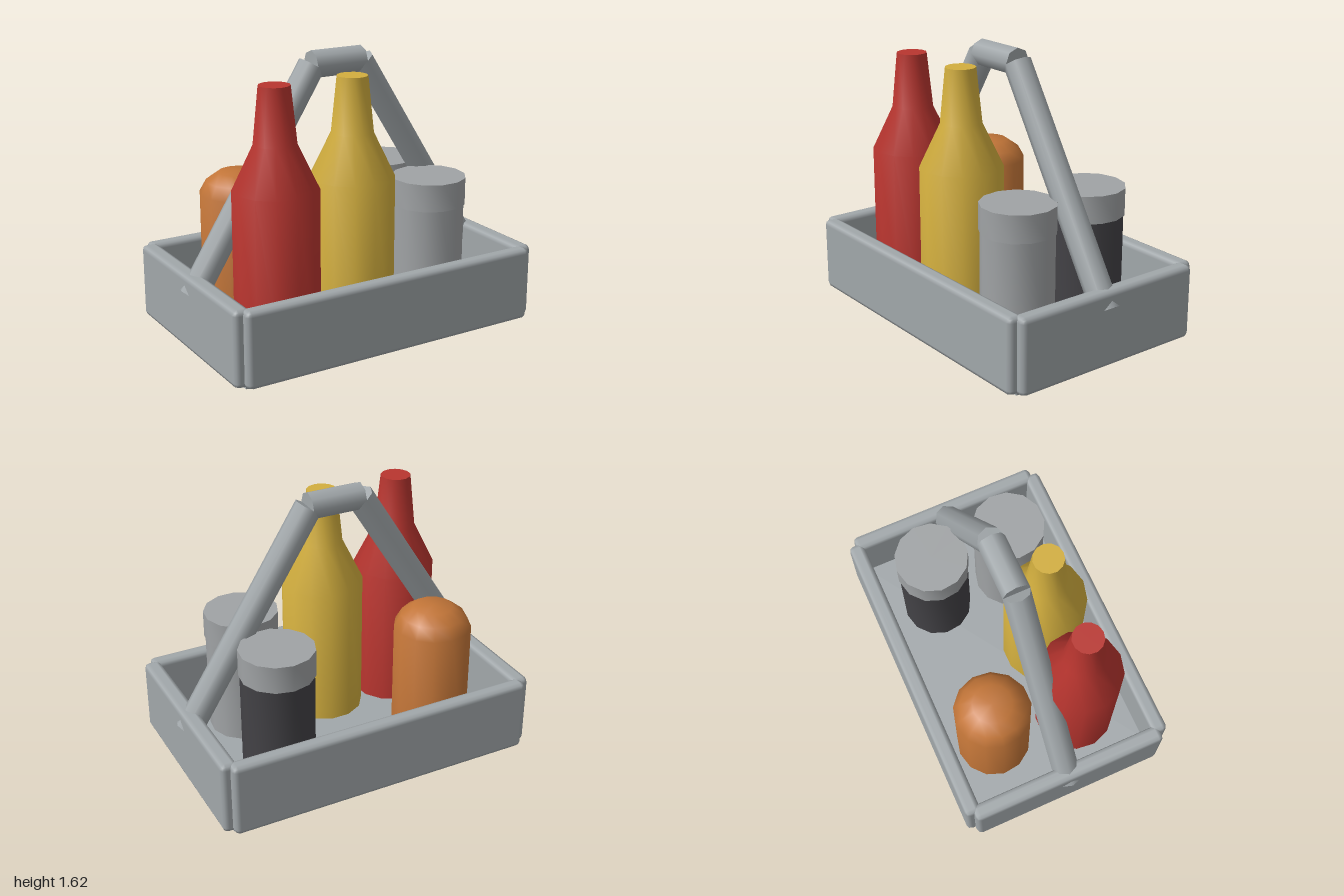
import * as THREE from 'three';
import { toCreasedNormals } from 'three/addons/utils/BufferGeometryUtils.js';
import { RoundedBoxGeometry } from 'three/addons/geometries/RoundedBoxGeometry.js';

const material = (name, color) => {
  const m = new THREE.MeshStandardMaterial({ color });
  m.name = name;
  return m;
};

export function createModel() {
  const metal = material('brushed grey', 0xa1a7aa);
  const lidGrey = material('lid grey', 0xa0a3a5);
  const red = material('sauce red', 0xb8352f);
  const yellow = material('mustard yellow', 0xd2ae3e);
  const orange = material('spice orange', 0xc27538);
  const dark = material('pepper dark', 0x434246);

  const model = new THREE.Group();
  model.name = 'condimentCaddy';
  const FLOOR = 0.1;
  const SIDES = 13;

  const add = (name, geometry, mat, x = 0, y = 0, z = 0, parent = model) => {
    const mesh = new THREE.Mesh(geometry, mat);
    mesh.name = name;
    mesh.position.set(x, y, z);
    parent.add(mesh);
    return mesh;
  };

  // Turned shape: smooth around, sharp at rims
  const turned = (profile) => toCreasedNormals(
    new THREE.LatheGeometry(profile.map(([r, y]) => new THREE.Vector2(r, y)), SIDES), 0.9);

  // Tray: bevelled walls around a floor plate
  for (const s of [-1, 1]) {
    add(s > 0 ? 'frontWall' : 'backWall',
      new RoundedBoxGeometry(1.86, 0.44, 0.095, 1, 0.03), metal, 0, 0.225, s * 0.605);
    add(s > 0 ? 'leftWall' : 'rightWall',
      new RoundedBoxGeometry(0.1, 0.44, 1.21, 1, 0.03), metal, s * 0.93, 0.225, 0);
  }
  add('trayFloor', new THREE.BoxGeometry(1.84, FLOOR, 1.2), metal, 0, FLOOR / 2, 0);

  // Handle: octagonal grip and two slanted poles
  const bar = (name, from, to) => {
    const dir = to.clone().sub(from);
    const mesh = add(name, new THREE.CylinderGeometry(0.08, 0.08, dir.length(), 8), metal);
    mesh.position.copy(from).add(to).multiplyScalar(0.5);
    mesh.quaternion.setFromUnitVectors(new THREE.Vector3(0, 1, 0), dir.normalize());
  };
  bar('handleGrip', new THREE.Vector3(-0.163, 1.54, 0), new THREE.Vector3(0.163, 1.54, 0));
  for (const s of [-1, 1]) {
    bar(s > 0 ? 'leftHandlePole' : 'rightHandlePole',
      new THREE.Vector3(s * 0.932, 0.317, 0), new THREE.Vector3(s * 0.16, 1.537, 0));
  }

  // Sauce bottles
  const bottle = turned([[0.242, FLOOR], [0.242, 0.94], [0.121, 1.19], [0.088, 1.51], [0, 1.51]]);
  add('redBottle', bottle, red, -0.53, 0, 0.24);
  add('yellowBottle', bottle, yellow, -0.043, 0, 0.24);

  // Lidded shakers
  const body = turned([[0.211, FLOOR], [0.211, 0.71]]);
  const lid = turned([[0, 0.7], [0.218, 0.7], [0.218, 0.86], [0, 0.86]]);
  for (const [name, z, mat] of [['saltShaker', 0.245, lidGrey], ['pepperShaker', -0.25, dark]]) {
    const shaker = new THREE.Group();
    shaker.name = name;
    shaker.position.set(0.483, 0, z);
    shaker.rotation.y = Math.PI;
    add(name + 'Body', body, mat, 0, 0, 0, shaker);
    add(name + 'Lid', lid, lidGrey, 0, 0, 0, shaker);
    model.add(shaker);
  }

  // Round-topped spice pot
  const pot = add('spicePot',
    turned([[0.225, FLOOR], [0.225, 0.78], [0.186, 0.85], [0.115, 0.9], [0, 0.905]]),
    orange, -0.49, 0, -0.29);
  pot.rotation.y = Math.PI;

  return model;
}
